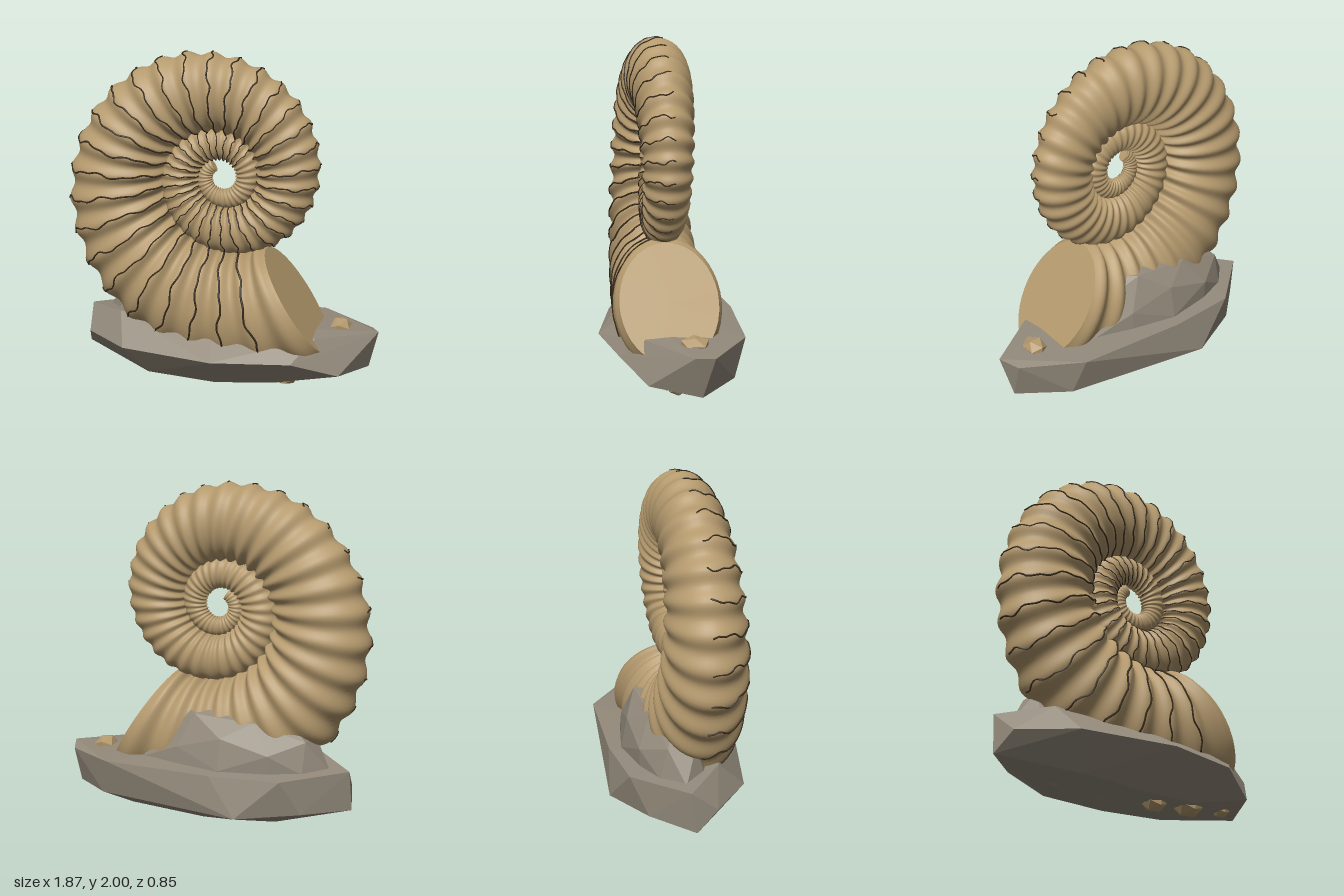
import * as THREE from 'three';
import { ConvexGeometry } from 'three/addons/geometries/ConvexGeometry.js';

const TAU = Math.PI * 2;
const CENTRE = new THREE.Vector3(0.005, 1.265, 0.05);
const START = -1.66 * TAU, END = 303 / 360 * TAU;
const RIBS = 30, PHASE = 2 / 360 * TAU;

// outer radius of the logarithmic spiral
const spiralRadius = (t) => 0.57 * Math.pow(2.52, t / TAU);

// point on the ribbed shell: t runs along the spiral, v around the tube (0 = outer edge, PI/2 = front)
function shellPoint(t, v, lift = 1) {
  const R = spiralRadius(t);
  const s = (1 + 0.055 * Math.cos(RIBS * (t + PHASE))) * lift;
  const r = R * (0.69 + 0.307 * s * Math.cos(v));
  return new THREE.Vector3(r * Math.cos(t), r * Math.sin(t), 0.24 * R * s * Math.sin(v)).add(CENTRE);
}

function indexed(points, index) {
  const g = new THREE.BufferGeometry().setFromPoints(points);
  g.setIndex(index);
  g.computeVertexNormals();
  return g;
}

function shellGeometry() {
  const rows = 720, cols = 40, points = [], index = [];
  for (let i = 0; i <= rows; i++) {
    const t = START + (END - START) * i / rows;
    for (let j = 0; j < cols; j++) points.push(shellPoint(t, j / cols * TAU));
  }
  for (let i = 0; i < rows; i++) {
    for (let j = 0; j < cols; j++) {
      const a = i * cols + j, d = i * cols + (j + 1) % cols;
      index.push(a, a + cols, d, a + cols, d + cols, d);
    }
  }
  return indexed(points, index);
}

// flat disc closing one end of the tube
function capGeometry(t, forward) {
  const n = 40, points = [], index = [];
  for (let j = 0; j < n; j++) points.push(shellPoint(t, j / n * TAU));
  const R = spiralRadius(t) * 0.69;
  points.push(new THREE.Vector3(R * Math.cos(t), R * Math.sin(t), 0).add(CENTRE));
  for (let j = 0; j < n; j++) {
    const k = (j + 1) % n;
    index.push(n, forward ? k : j, forward ? j : k);
  }
  return indexed(points, index);
}

// thin wavy line over the front flank, from the inner edge to the outer edge
function sutureGeometry(t, seed) {
  const points = [];
  for (let i = 0; i <= 22; i++) {
    const f = i / 22;
    const wave = 0.016 * Math.sin(f * 19 + seed * 1.7) + 0.01 * Math.sin(f * 41 + seed);
    points.push(shellPoint(t + wave, Math.PI * (0.95 - f), 1.004));
  }
  const radius = 0.0025 + 0.003 * spiralRadius(t);
  return new THREE.TubeGeometry(new THREE.CatmullRomCurve3(points), 44, radius, 4);
}

// faceted stone with a repeatable uneven surface
function stoneGeometry(detail, rx, ry, rz, rough) {
  const g = new THREE.IcosahedronGeometry(1, detail);
  const p = g.attributes.position;
  for (let i = 0; i < p.count; i++) {
    const x = p.getX(i), y = p.getY(i), z = p.getZ(i);
    const s = 1 + rough * Math.sin(5.1 * x + 3.7 * y + 7.3 * z + 1);
    p.setXYZ(i, x * s * rx, y * s * ry, z * s * rz);
  }
  g.computeVertexNormals();
  return g;
}

export function createModel() {
  const model = new THREE.Group();
  model.name = 'fossilOnRock';
  const mat = (name, color) => {
    const m = new THREE.MeshStandardMaterial({ color });
    m.name = name;
    return m;
  };
  const shellTan = mat('shellTan', 0xb59a6e);
  const sutureBrown = mat('sutureBrown', 0x3a2d1e);
  const rockGrey = mat('rockGrey', 0x938a7b);
  const add = (parent, name, geometry, material, pos = [0, 0, 0]) => {
    const mesh = new THREE.Mesh(geometry, material);
    mesh.name = name;
    mesh.position.set(...pos);
    parent.add(mesh);
    return mesh;
  };

  // coiled shell and its closed ends
  const shell = new THREE.Group();
  shell.name = 'shell';
  model.add(shell);
  add(shell, 'coil', shellGeometry(), shellTan);
  add(shell, 'aperture', capGeometry(END, true), shellTan);
  add(shell, 'coilTip', capGeometry(START, false), shellTan);

  // one suture on each rib of the front side
  const sutures = new THREE.Group();
  sutures.name = 'sutures';
  shell.add(sutures);
  for (let k = -26; k <= 24; k++) {
    add(sutures, 'suture', sutureGeometry(k / RIBS * TAU - PHASE, k), sutureBrown);
  }

  // faceted slab
  const slab = [
    // widest edge
    [0.02, 0.25, 0.42], [0.48, 0.25, 0.34], [0.74, 0.15, 0.2], [-0.54, 0.25, 0.31], [-0.82, 0.25, 0.08],
    [-0.27, 0.13, -0.43], [0.62, 0.14, -0.3], [-0.62, 0.15, -0.27],
    // top
    [0.94, 0.36, -0.03], [0.89, 0.34, -0.15], [0.57, 0.36, -0.37], [-0.1, 0.36, -0.4], [-0.52, 0.36, -0.36],
    [-0.85, 0.38, -0.08], [-0.6, 0.42, 0.14], [0, 0.41, 0.2], [0.6, 0.37, 0.2],
    // underside
    [0.88, 0.12, -0.08], [0.35, 0.06, 0.17], [0, 0.04, 0.2], [-0.42, 0.06, 0.18], [-0.86, 0.14, -0.05],
    [0, 0.04, -0.22], [-0.45, 0.07, -0.22], [0.45, 0.08, -0.24],
  ];
  add(model, 'rockSlab', new ConvexGeometry(slab.map((p) => new THREE.Vector3(...p))), rockGrey);

  // mound supporting the shell from behind
  add(model, 'rockMound', stoneGeometry(1, 0.58, 0.35, 0.25, 0.05), rockGrey, [-0.13, 0.37, -0.08]);

  // pebbles: position, then radii
  const pebbles = [
    [[0.71, 0.37, -0.06], [0.065, 0.05, 0.09]],
    [[0.16, 0.045, 0.05], [0.07, 0.045, 0.08]],
    [[0.4, 0.07, 0.06], [0.09, 0.055, 0.09]],
    [[0.68, 0.11, 0.03], [0.055, 0.035, 0.06]],
  ];
  for (const [pos, r] of pebbles) add(model, 'pebble', stoneGeometry(0, ...r, 0.06), shellTan, pos);

  return model;
}
